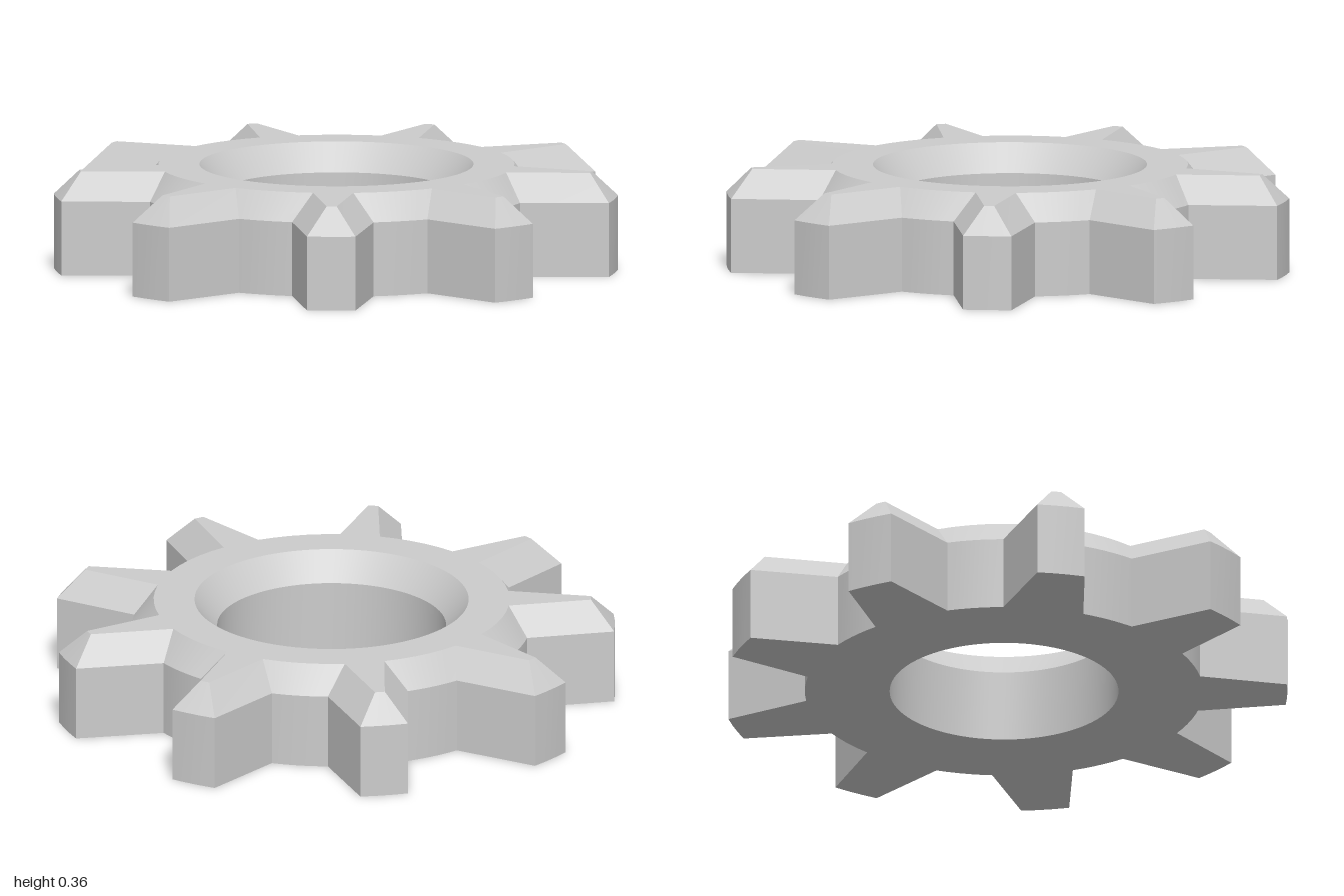
import * as THREE from 'three';
import { toCreasedNormals } from 'three/addons/utils/BufferGeometryUtils.js';

const TEETH = 9, TIP_POINTS = 4, ROOT_POINTS = 6;
const PER_TOOTH = TIP_POINTS + ROOT_POINTS;
const rad = THREE.MathUtils.degToRad;

const polar = (r, degrees, y) => [r * Math.cos(rad(degrees)), y, r * Math.sin(rad(degrees))];

// Toothed outline: a short arc over each tip, then an arc along the root gap
function toothLoop(y, tipR, tipHalf, rootR, baseHalf) {
  const pitch = 360 / TEETH, loop = [];
  for (let k = 0; k < TEETH; k++) {
    const mid = 180 + k * pitch;
    for (let j = 0; j < TIP_POINTS; j++)
      loop.push(polar(tipR, mid - tipHalf + 2 * tipHalf * j / (TIP_POINTS - 1), y));
    for (let j = 0; j < ROOT_POINTS; j++)
      loop.push(polar(rootR, mid + baseHalf + (pitch - 2 * baseHalf) * j / (ROOT_POINTS - 1), y));
  }
  return loop;
}

// Round outline of the bore with the same number of points
function boreLoop(y, r) {
  const n = TEETH * PER_TOOTH, step = 360 / n;
  return Array.from({ length: n }, (_, i) => polar(r, 180 + (i - 1.5) * step, y));
}

// Joins each loop to the next and the last back to the first
function skinLoops(loops) {
  const positions = [];
  loops.forEach((a, l) => {
    const b = loops[(l + 1) % loops.length];
    for (let i = 0; i < a.length; i++) {
      const n = (i + 1) % a.length;
      positions.push(...a[i], ...b[i], ...a[n], ...a[n], ...b[i], ...b[n]);
    }
  });
  const geometry = new THREE.BufferGeometry();
  geometry.setAttribute('position', new THREE.Float32BufferAttribute(positions, 3));
  return toCreasedNormals(geometry, rad(28));
}

export function createModel() {
  const group = new THREE.Group();
  group.name = 'gear';

  const geometry = skinLoops([
    toothLoop(0, 1.003, 4.9, 0.705, 11.8),      // underside edge
    toothLoop(0.265, 1.003, 4.9, 0.705, 11.8),  // start of outer bevel
    toothLoop(0.36, 0.918, 1.1, 0.63, 6.5),     // top edge
    boreLoop(0.36, 0.485),                      // top of bore chamfer
    boreLoop(0.262, 0.405),                     // foot of bore chamfer
    boreLoop(0, 0.405),                         // bottom of bore
  ]);
  geometry.translate(0.012, 0, 0);

  const gear = new THREE.Mesh(geometry, new THREE.MeshStandardMaterial({ color: 0xcccccc }));
  gear.name = 'toothedRing';
  group.add(gear);
  return group;
}
